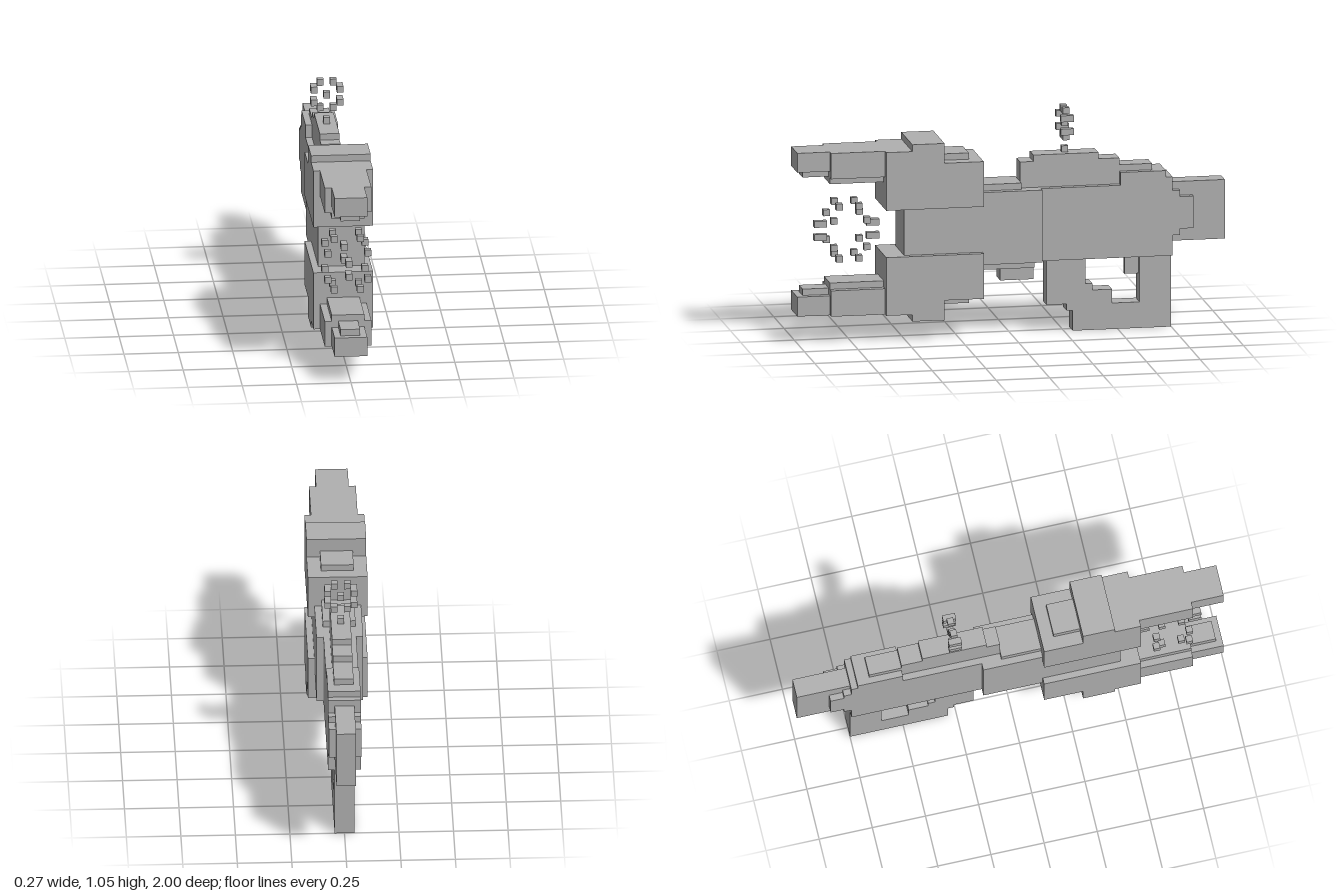
import * as THREE from 'three';

export function createModel() {
  const model = new THREE.Group();
  const grey = new THREE.MeshStandardMaterial({ color: 0xb0b0b0 });
  grey.name = 'plain grey';

  // Box given by its half width in x and its extents in y and z
  const block = (name, halfX, y0, y1, z0, z1, x = 0, parent = model) => {
    const mesh = new THREE.Mesh(new THREE.BoxGeometry(halfX * 2, y1 - y0, z1 - z0), grey);
    mesh.name = name;
    mesh.position.set(x, (y0 + y1) / 2, (z0 + z1) / 2);
    parent.add(mesh);
  };

  // Plate with a stepped [z, y] outline, extruded across x
  const plate = (name, halfX, outline) => {
    const shape = new THREE.Shape(outline.map(([z, y]) => new THREE.Vector2(-z, y)));
    const geometry = new THREE.ExtrudeGeometry(shape, { depth: halfX * 2, bevelEnabled: false });
    geometry.translate(0, 0, -halfX);
    geometry.rotateY(Math.PI / 2);
    const mesh = new THREE.Mesh(geometry, grey);
    mesh.name = name;
    model.add(mesh);
  };

  // Upper and lower jaws, mirrored about the barrel axis
  const axis = 0.51;
  for (const side of [1, -1]) {
    const jaw = new THREE.Group();
    jaw.name = side > 0 ? 'upperJaw' : 'lowerJaw';
    model.add(jaw);
    const part = (name, halfX, a, b, z0, z1) => {
      const [y0, y1] = [axis + side * a, axis + side * b].sort((p, q) => p - q);
      block(name, halfX, y0, y1, z0, z1, 0, jaw);
    };
    part('jawRear', 0.137, 0.11, 0.322, 0.142, 0.325);
    part('jawBump', 0.075, 0.322, 0.352, 0.2, 0.325);
    part('jawMiddle', 0.137, 0.11, 0.415, 0.325, 0.475);
    part('jawFront', 0.137, 0.11, 0.383, 0.475, 0.597);
    part('prongBase', 0.107, 0.262, 0.383, 0.597, 0.848);
    part('prongRidge', 0.075, 0.232, 0.262, 0.597, 0.848);
    part('prongTip', 0.075, 0.292, 0.383, 0.848, 1);
    part('prongNub', 0.045, 0.262, 0.292, 0.848, 0.97);
  }

  // Central receiver
  block('receiver', 0.107, 0.34, 0.68, -0.137, 0.508);
  block('receiverTop', 0.075, 0.68, 0.71, -0.045, 0.142);
  block('receiverBottom', 0.075, 0.31, 0.34, -0.107, 0.142);
  block('underNub', 0.045, 0.25, 0.31, -0.107, 0.048);

  // Rear body with stepped back edge
  plate('rearBody', 0.075, [
    [-0.137, 0.34], [-0.75, 0.34], [-0.75, 0.435], [-0.785, 0.435], [-0.785, 0.465],
    [-0.848, 0.465], [-0.848, 0.615], [-0.785, 0.615], [-0.785, 0.645], [-0.75, 0.645],
    [-0.75, 0.71], [-0.72, 0.71], [-0.72, 0.74], [-0.508, 0.74], [-0.508, 0.68], [-0.137, 0.68],
  ]);

  // Raised spine along the top
  plate('topSpine', 0.045, [
    [-0.045, 0.67], [-0.66, 0.67], [-0.66, 0.77], [-0.508, 0.77], [-0.508, 0.802],
    [-0.41, 0.802], [-0.41, 0.832], [-0.107, 0.832], [-0.107, 0.802], [-0.045, 0.802],
  ]);

  // Stock
  block('stock', 0.045, 0.403, 0.68, -1, -0.74);

  // Grip loop, open at the top under the body
  plate('gripLoop', 0.045, [
    [-0.168, 0.345], [-0.168, 0.126], [-0.262, 0.126], [-0.262, 0.095], [-0.29, 0.095],
    [-0.29, 0], [-0.75, 0], [-0.75, 0.345], [-0.602, 0.345], [-0.602, 0.122],
    [-0.474, 0.122], [-0.474, 0.187], [-0.382, 0.187], [-0.382, 0.218], [-0.35, 0.218], [-0.35, 0.345],
  ]);
  block('trigger', 0.015, 0.25, 0.34, -0.602, -0.538);

  // Floating specks: half width 0.015, square unless lengthened in z
  const speck = (x, y, z, halfZ = 0.015) =>
    block('floatingSpeck', 0.015, y - 0.015, y + 0.015, z - halfZ, z + halfZ, x);

  // Ring between the jaws
  const ringZ = 0.757;
  for (const sz of [1, -1]) {
    for (const sy of [1, -1]) {
      for (const sx of [1, -1]) {
        speck(sx * 0.06, axis + sy * 0.122, ringZ + sz * 0.046);
        speck(sx * 0.092, axis + sy * 0.063, ringZ + sz * 0.077);
      }
      speck(0, axis + sy * 0.031, ringZ + sz * 0.122, 0.03);
    }
  }

  // Ring above the spine
  const sightZ = -0.26;
  for (const sx of [1, -1]) {
    speck(sx * 0.03, 1.033, sightZ);
    speck(sx * 0.06, 1.002, sightZ, 0.03);
    speck(sx * 0.06, 0.94, sightZ, 0.03);
    speck(sx * 0.03, 0.91, sightZ);
  }
  speck(0, 0.971, sightZ);
  speck(0, 0.848, sightZ);

  return model;
}
